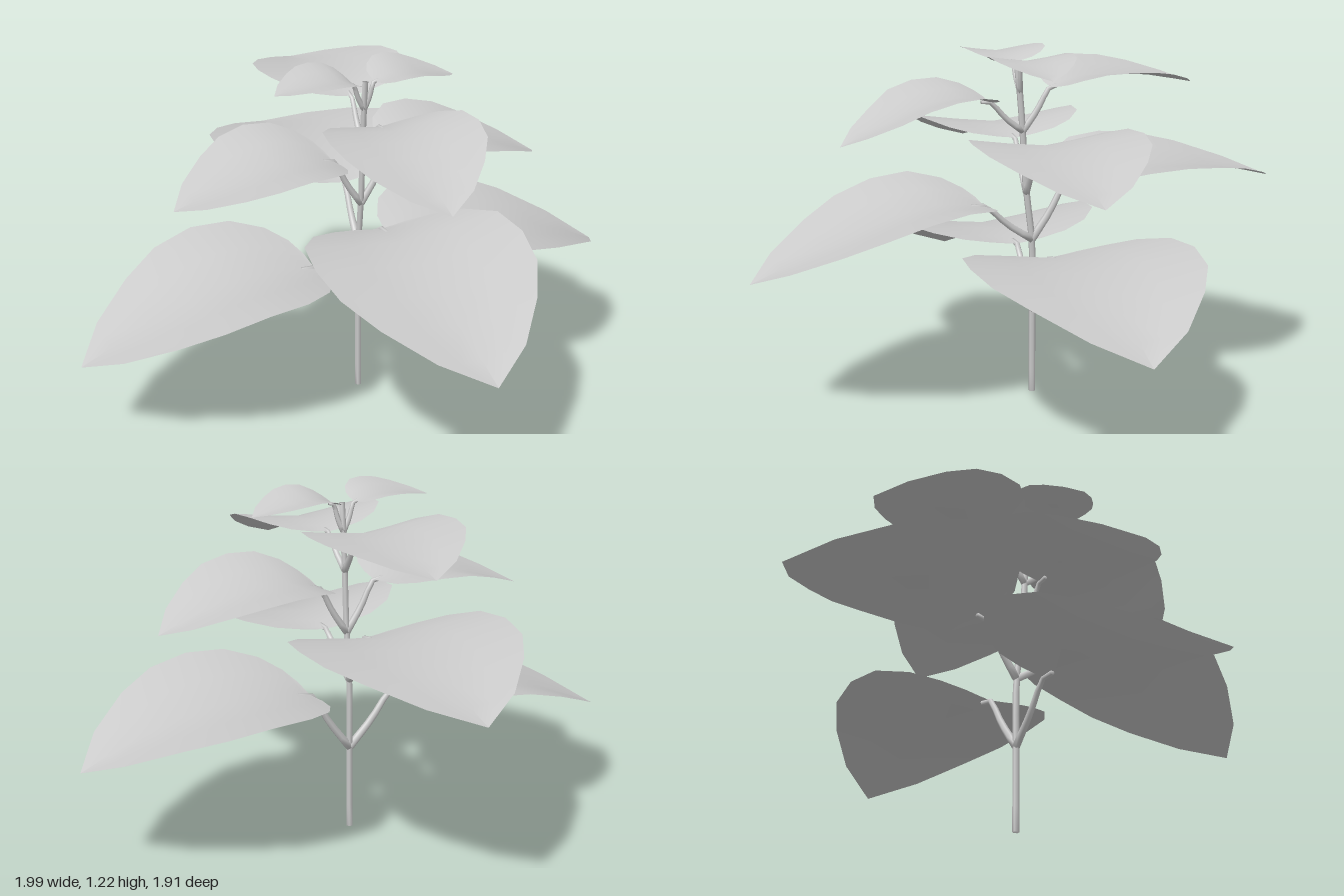
import * as THREE from 'three';

const material = new THREE.MeshStandardMaterial({ color: 0xcccccc });
const leafMaterial = new THREE.MeshStandardMaterial({ color: 0xcccccc, side: THREE.DoubleSide });

// Blade outline: [distance along the midrib, share of the half width]
const OUTLINE = [[0, 0.25], [0.02, 0.5], [0.08, 0.75], [0.2, 0.95], [0.36, 1],
  [0.53, 0.94], [0.69, 0.74], [0.87, 0.41], [1, 0]];
const ACROSS = [-1, -0.5, 0, 0.5, 1];

// Pairs of opposite leaves, each turned a quarter from the pair below.
// Ribs are [distance along the pair's axis, height], from blade base to tip.
const TIERS = [
  { axis: 'x', centre: -0.042, node: 0.31, half: 0.39, lift: 0.052, ribs: [
    [[0.17, 0.53], [0.31, 0.555], [0.52, 0.55], [0.78, 0.49], [0.99, 0.4]],
    [[-0.15, 0.5], [-0.31, 0.515], [-0.52, 0.495], [-0.78, 0.4], [-1, 0.3]]] },
  { axis: 'z', centre: 0.02, node: 0.56, half: 0.372, lift: 0.05, ribs: [
    [[0.14, 0.69], [0.3, 0.71], [0.5, 0.67], [0.78, 0.565], [0.955, 0.495]],
    [[-0.16, 0.75], [-0.3, 0.79], [-0.48, 0.8], [-0.72, 0.775], [-0.955, 0.72]]] },
  { axis: 'x', centre: -0.012, node: 0.73, half: 0.298, lift: 0.04, ribs: [
    [[0.12, 0.9], [0.22, 0.93], [0.37, 0.925], [0.52, 0.885], [0.695, 0.815]],
    [[-0.09, 0.9], [-0.2, 0.925], [-0.33, 0.92], [-0.5, 0.87], [-0.66, 0.815]]] },
  { axis: 'z', centre: 0.02, node: 0.94, half: 0.265, lift: 0.037, ribs: [
    [[0.12, 1.05], [0.22, 1.07], [0.37, 1.05], [0.5, 0.99], [0.64, 0.93]],
    [[-0.1, 1.09], [-0.18, 1.12], [-0.3, 1.125], [-0.45, 1.115], [-0.635, 1.08]]] },
  { axis: 'x', centre: 0.02, node: 1.08, half: 0.148, lift: 0.02, ribs: [
    [[0.05, 1.175], [0.1, 1.195], [0.16, 1.2], [0.23, 1.187], [0.345, 1.16]],
    [[-0.03, 1.175], [-0.07, 1.195], [-0.14, 1.2], [-0.22, 1.19], [-0.31, 1.172]]] },
];

const STEM = new THREE.CatmullRomCurve3([
  [0, -0.036], [0.3, -0.036], [0.55, -0.035], [0.75, -0.012], [0.95, 0], [1.08, 0.01], [1.175, 0.02],
].map(([y, z]) => new THREE.Vector3(0.016, y, z)));

function mesh(name, geometry, mat = material) {
  const m = new THREE.Mesh(geometry, mat);
  m.name = name;
  return m;
}

// Six-sided tapering tube with closed ends
function stalk(curve, steps, r0, r1) {
  const sides = 6;
  const frames = curve.computeFrenetFrames(steps);
  const pos = [], index = [];
  for (let i = 0; i <= steps; i++) {
    const p = curve.getPointAt(i / steps);
    const r = THREE.MathUtils.lerp(r0, r1, i / steps);
    for (let j = 0; j < sides; j++) {
      const a = (j / sides) * Math.PI * 2;
      const v = p.clone()
        .addScaledVector(frames.normals[i], Math.cos(a) * r)
        .addScaledVector(frames.binormals[i], Math.sin(a) * r);
      pos.push(v.x, v.y, v.z);
      const a0 = i * sides + j, b0 = i * sides + (j + 1) % sides;
      if (i < steps) index.push(a0, b0, a0 + sides, b0, b0 + sides, a0 + sides);
    }
  }
  const last = steps * sides;
  for (let j = 1; j < sides - 1; j++) {
    index.push(0, j + 1, j, last, last + j, last + j + 1);
  }
  const g = new THREE.BufferGeometry();
  g.setAttribute('position', new THREE.Float32BufferAttribute(pos, 3));
  g.setIndex(index);
  g.computeVertexNormals();
  return g;
}

// Shallow V-folded blade swept along its arched midrib
function blade(rib, half, lift, place, upward) {
  const curve = new THREE.SplineCurve(rib.map(([r, y]) => new THREE.Vector2(r, y)));
  const n = ACROSS.length;
  const pos = [], index = [];
  OUTLINE.forEach(([t, w], i) => {
    const p = curve.getPointAt(t);
    ACROSS.forEach((s, j) => {
      const v = place(p.x, p.y + lift * w * Math.pow(Math.abs(s), 1.2), s * w * half);
      pos.push(v.x, v.y, v.z);
      if (i < OUTLINE.length - 1 && j < n - 1) {
        const a = i * n + j, b = a + 1, c = a + n, d = c + 1;
        if (upward) index.push(a, b, c, b, d, c);
        else index.push(a, c, b, b, c, d);
      }
    });
  });
  const g = new THREE.BufferGeometry();
  g.setAttribute('position', new THREE.Float32BufferAttribute(pos, 3));
  g.setIndex(index);
  g.computeVertexNormals();
  return g;
}

export function createModel() {
  const plant = new THREE.Group();
  plant.name = 'plant';
  plant.add(mesh('stem', stalk(STEM, 14, 0.012, 0.011)));

  for (const { axis, centre, node, half, lift, ribs } of TIERS) {
    const place = axis === 'x'
      ? (r, y, s) => new THREE.Vector3(r, y, centre + s)
      : (r, y, s) => new THREE.Vector3(centre + s, y, r);
    // Stem centre at the height of this pair
    const start = STEM.getPoints(100).reduce((a, b) =>
      Math.abs(b.y - node) < Math.abs(a.y - node) ? b : a);

    for (const rib of ribs) {
      const leaf = new THREE.Group();
      leaf.name = 'leaf';
      const [r, y] = rib[0];
      const end = place(r, y, 0);
      const mid = start.clone().lerp(end, 0.5);
      mid.y -= 0.008;
      // Short run under the blade hides the joint
      const under = place(r + (rib[1][0] - r) * 0.3, y + (rib[1][1] - y) * 0.3 - 0.004, 0);
      const path = new THREE.CatmullRomCurve3([start, mid, end, under]);
      const thick = 0.008 + half * 0.018;
      leaf.add(mesh('leafStalk', stalk(path, 6, thick, thick * 0.6)));
      const upward = (axis === 'x') !== (r < 0);
      leaf.add(mesh('leafBlade', blade(rib, half, lift, place, upward), leafMaterial));
      plant.add(leaf);
    }
  }
  return plant;
}
